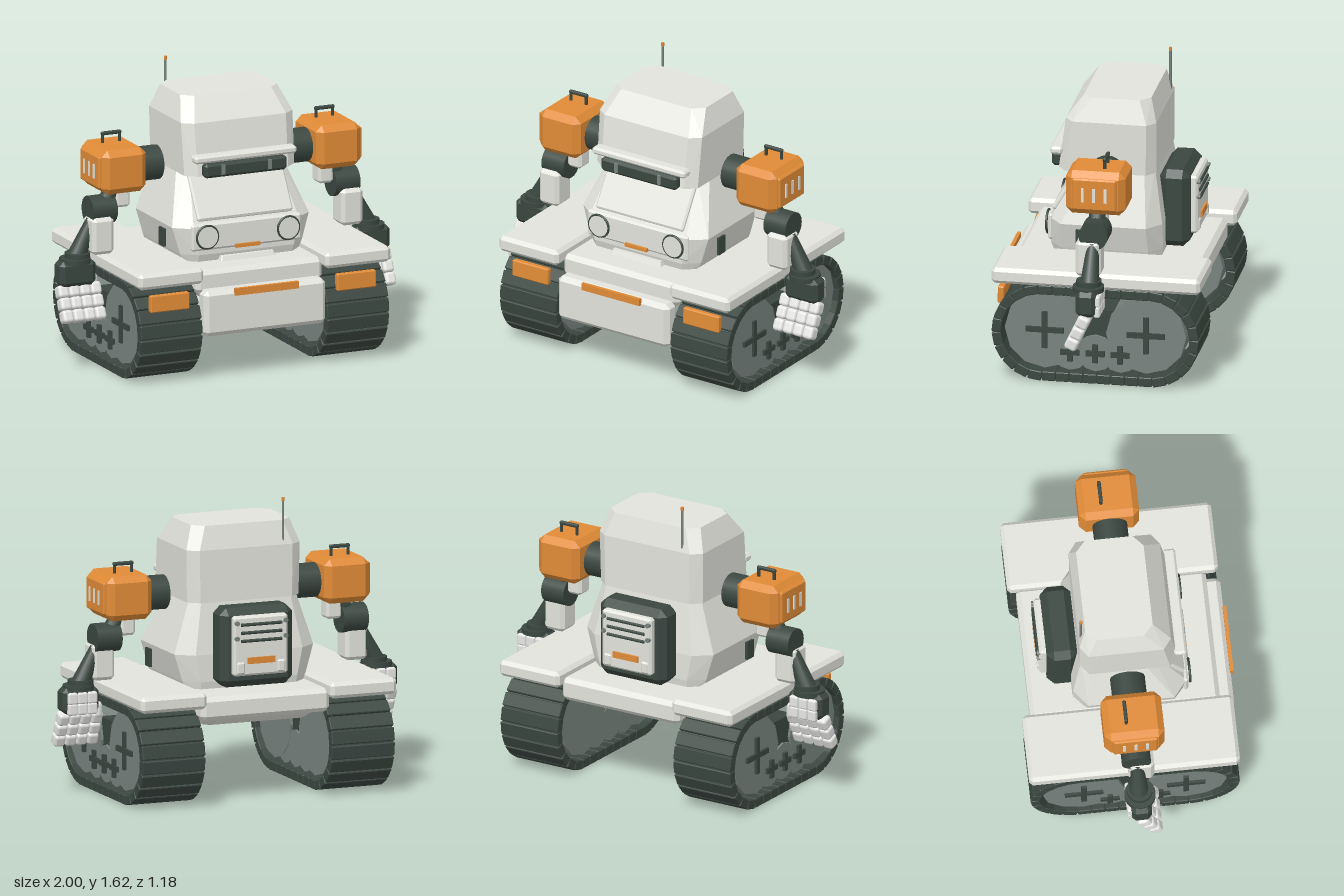
import * as THREE from 'three';
import { mergeGeometries } from 'three/addons/utils/BufferGeometryUtils.js';
import { ConvexGeometry } from 'three/addons/geometries/ConvexGeometry.js';
import { RoundedBoxGeometry } from 'three/addons/geometries/RoundedBoxGeometry.js';

const mat = (name, color) => Object.assign(new THREE.MeshStandardMaterial({ color }), { name });

export function createModel() {
  const shell = mat('pale grey shell', 0xe2e3dc);
  const dark = mat('dark green grey', 0x3b4741);
  const orange = mat('orange', 0xe08b36);
  const wheelGrey = mat('wheel grey green', 0x78837e);
  const fingerWhite = mat('finger white', 0xe6e6e4);

  const root = new THREE.Group();
  root.name = 'trackedRobot';
  let parent = root;

  const group = (name) => {
    parent = new THREE.Group();
    parent.name = name;
    root.add(parent);
  };
  const add = (name, geo, m, x = 0, y = 0, z = 0, rx = 0, ry = 0, rz = 0) => {
    const mesh = new THREE.Mesh(geo, m);
    mesh.name = name;
    mesh.position.set(x, y, z);
    mesh.rotation.set(rx, ry, rz);
    parent.add(mesh);
  };
  const box = (w, h, d) => new THREE.BoxGeometry(w, h, d);
  // box with all edges bevelled by c
  const bevelBox = (w, h, d, c) => {
    const pts = [];
    for (const i of [-1, 1]) for (const j of [-1, 1]) for (const k of [-1, 1]) {
      const [x, y, z] = [w / 2, h / 2, d / 2];
      pts.push(new THREE.Vector3(i * x, j * (y - c), k * (z - c)),
        new THREE.Vector3(i * (x - c), j * y, k * (z - c)),
        new THREE.Vector3(i * (x - c), j * (y - c), k * z));
    }
    return new ConvexGeometry(pts);
  };
  // faceted hull through octagonal levels: [y, halfWidth, zFront, zBack, cornerX, cornerZ]
  const hull = (levels) => new ConvexGeometry(levels.flatMap(([y, hx, zf, zb, cx, cz]) =>
    [-1, 1].flatMap((s) => [
      [s * (hx - cx), zf], [s * hx, zf - cz], [s * hx, zb + cz], [s * (hx - cx), zb],
    ].map(([x, z]) => new THREE.Vector3(x, y, z)))));
  const rod = (r, len, n = 16) => new THREE.CylinderGeometry(r, r, len, n);

  // Hull, deck and bumper
  group('chassis');
  add('deck', bevelBox(0.76, 0.13, 1.04, 0.025), shell, 0, 0.535, -0.025);
  add('belly', hull([[0.49, 0.36, 0.48, -0.5, 0.03, 0.03], [0.42, 0.3, 0.44, -0.4, 0.03, 0.03]]), shell);
  add('bumper', bevelBox(0.73, 0.255, 0.1, 0.025), shell, 0, 0.373, 0.522);
  add('bumperStripe', box(0.38, 0.04, 0.02), orange, 0, 0.487, 0.578);
  add('deckStep', hull([[0.56, 0.18, 0.365, 0.28, 0.005, 0.005], [0.625, 0.155, 0.335, 0.28, 0.005, 0.005]]), shell);

  // Torso with windscreen panel and lamps
  group('torso');
  add('torsoShell', hull([
    [0.56, 0.335, 0.29, -0.29, 0.06, 0.06],
    [0.64, 0.365, 0.315, -0.305, 0.08, 0.07],
    [0.79, 0.41, 0.315, -0.305, 0.095, 0.075],
    [1.1, 0.31, 0.13, -0.255, 0.05, 0.05],
  ]), shell);
  add('slopedPanel', bevelBox(0.57, 0.3, 0.03, 0.01), shell, 0, 0.955, 0.225, -0.54);
  add('lampPanel', bevelBox(0.66, 0.15, 0.03, 0.012), shell, 0, 0.74, 0.312);
  add('chestStripe', box(0.145, 0.02, 0.02), orange, 0, 0.675, 0.332);
  for (const s of [-1, 1]) {
    add('lamp', rod(0.06, 0.03, 24), shell, s * 0.243, 0.743, 0.33, Math.PI / 2);
    add('lampRing', new THREE.TorusGeometry(0.063, 0.007, 8, 28), dark, s * 0.243, 0.743, 0.338);
    add('sidePanel', box(0.014, 0.1, 0.065), dark, s * 0.415, 0.715, 0.122);
  }

  // Head
  group('head');
  add('headShell', hull([
    [1.07, 0.33, 0.275, -0.265, 0.06, 0.05],
    [1.36, 0.335, 0.235, -0.265, 0.06, 0.045],
    [1.49, 0.29, 0.14, -0.23, 0.06, 0.055],
  ]), shell);
  add('brow', bevelBox(0.61, 0.042, 0.07, 0.012), shell, 0, 1.172, 0.285);
  add('visor', bevelBox(0.495, 0.08, 0.06, 0.015), dark, 0, 1.105, 0.29);
  for (const s of [-1, 1]) add('visorStud', box(0.022, 0.055, 0.01), wheelGrey, s * 0.14, 1.108, 0.32);
  add('antenna', rod(0.007, 0.28, 8), wheelGrey, -0.222, 1.47, -0.253);
  add('antennaTip', rod(0.009, 0.02, 8), orange, -0.222, 1.61, -0.253);

  // Backpack with vents
  group('backpack');
  add('packBody', bevelBox(0.43, 0.44, 0.17, 0.04), dark, 0, 0.84, -0.35);
  add('packPlate', bevelBox(0.32, 0.33, 0.05, 0.012), shell, 0, 0.855, -0.448);
  for (let i = 0; i < 3; i++) add('ventSlat', rod(0.009, 0.24, 8), dark, 0, 0.975 - i * 0.045, -0.477, 0, 0, Math.PI / 2);
  add('packStripe', box(0.16, 0.035, 0.02), orange, 0, 0.775, -0.474);
  for (const s of [-1, 1]) {
    for (const y of [0.9, 0.985]) add('bolt', rod(0.013, 0.025, 10), wheelGrey, s * 0.143, y, -0.473, Math.PI / 2);
    add('packClip', bevelBox(0.05, 0.07, 0.05, 0.01), shell, s * 0.12, 0.735, -0.457);
  }

  // Tracks: a stadium path sampled at equal steps
  const R = 0.249, Y0 = 0.275, zMid = -0.011, half = 0.296;
  const straight = half * 2, arc = Math.PI * R, total = 2 * (straight + arc);
  const onTrack = (d) => {
    if (d < straight) return [half - d, -R, 0];
    d -= straight;
    if (d < arc) { const a = d / R; return [-half - R * Math.sin(a), -R * Math.cos(a), a]; }
    d -= arc;
    if (d < straight) return [-half + d, R, Math.PI];
    const a = (d - straight) / R;
    return [half + R * Math.sin(a), R * Math.cos(a), Math.PI + a];
  };
  const pads = [], count = 36;
  for (let i = 0; i < count; i++) {
    const [z, y, a] = onTrack(((i + 0.5) * total) / count);
    pads.push(bevelBox(0.37, 0.052, 0.0745, 0.004).rotateX(a).translate(0, y, z));
  }
  const padGeo = mergeGeometries(pads);
  const stadium = (T, r) => {
    T.absarc(half, 0, r, -Math.PI / 2, Math.PI / 2, false);
    T.absarc(-half, 0, r, Math.PI / 2, Math.PI * 1.5, false);
    T.closePath();
    return T;
  };
  const beltShape = stadium(new THREE.Shape(), 0.262);
  beltShape.holes.push(stadium(new THREE.Path(), 0.226));
  const beltGeo = new THREE.ExtrudeGeometry(beltShape, { depth: 0.36, bevelEnabled: false, curveSegments: 20 })
    .translate(0, 0, -0.18).rotateY(Math.PI / 2);
  const wheelGeo = (r, w) => {
    const g = new THREE.CylinderGeometry(r, r, w, 12).rotateZ(Math.PI / 2).toNonIndexed();
    g.computeVertexNormals();
    return g;
  };

  for (const s of [-1, 1]) {
    group(s > 0 ? 'leftTrack' : 'rightTrack');
    const cx = s * 0.56;
    add('trackPads', padGeo, dark, cx, Y0, zMid);
    add('trackBelt', beltGeo, dark, cx, Y0, zMid);
    const cross = (y, z, l, w) => {
      add('wheelCross', box(0.03, w, l), dark, s * 0.725, y, z);
      add('wheelCross', box(0.03, l, w), dark, s * 0.725, y, z);
    };
    for (const z of [0.27, -0.29]) {
      add('roadWheel', wheelGeo(0.222, 0.33), wheelGrey, cx, 0.292, z);
      cross(0.292, z, 0.21, 0.03);
    }
    for (const z of [0.13, -0.01, -0.147]) {
      add('smallWheel', wheelGeo(0.105, 0.325), wheelGrey, cx, 0.17, z);
      cross(0.17, z, 0.104, 0.03);
    }
    add('wheelFrame', box(0.3, 0.17, 0.2), dark, cx, 0.33, -0.01);
    add('fender', bevelBox(0.39, 0.09, 1.155, 0.02), shell, cx, 0.592, -0.014);
    add('fenderLamp', bevelBox(0.235, 0.095, 0.035, 0.006), orange, cx, 0.457, 0.523, -0.04);
  }

  // Arms
  const segment = new RoundedBoxGeometry(0.064, 0.07, 0.07, 3, 0.018);
  const knuckle = new RoundedBoxGeometry(0.056, 0.065, 0.035, 2, 0.012);
  for (const s of [-1, 1]) {
    group(s > 0 ? 'leftArm' : 'rightArm');
    const q = Math.PI / 2;
    add('shoulderJoint', rod(0.095, 0.135, 20), dark, s * 0.449, 1.1, -0.015, 0, 0, q);
    add('shoulderBox', bevelBox(0.265, 0.247, 0.33, 0.035), orange, s * 0.643, 1.108, -0.015);
    add('shoulderPanel', bevelBox(0.03, 0.18, 0.245, 0.008), orange, s * 0.775, 1.108, -0.013);
    for (const z of [0.05, -0.012, -0.075]) add('slot', box(0.008, 0.08, 0.016), shell, s * 0.791, 1.107, z);
    for (const e of [-1, 1]) add('handlePost', rod(0.009, 0.06, 8), dark, s * (0.64 + e * 0.05), 1.255, -0.055);
    add('handleBar', bevelBox(0.12, 0.02, 0.02, 0.005), dark, s * 0.64, 1.283, -0.055);

    add('upperArm', bevelBox(0.09, 0.12, 0.1, 0.015), shell, s * 0.61, 0.94, -0.01);
    add('armLink', rod(0.045, 0.15, 14), dark, s * 0.675, 0.945, -0.01, 0, 0, s * 0.6);
    add('elbow', rod(0.08, 0.145, 20), dark, s * 0.728, 0.873, -0.01, 0, 0, q);
    add('forearm', bevelBox(0.13, 0.205, 0.14, 0.02), shell, s * 0.747, 0.742, 0.018);
    add('wristCone', new THREE.CylinderGeometry(0.032, 0.055, 0.23, 16), dark, s * 0.828, 0.715, -0.005, 0, 0, s * 0.44);
    add('wristCuff', rod(0.07, 0.045, 20), dark, s * 0.868, 0.625, 0);
    add('palmFlange', rod(0.086, 0.028, 24), dark, s * 0.882, 0.606, 0);
    add('palm', bevelBox(0.215, 0.145, 0.115, 0.025), dark, s * 0.882, 0.538, 0);

    // four fingers of three segments curling forward
    for (let f = 0; f < 4; f++) {
      const x = s * (0.772 + f * 0.065);
      for (let j = 0; j < 3; j++) {
        add('fingerSegment', segment, fingerWhite, x, 0.437 - j * 0.063, 0.015 + j * 0.03, -0.42);
      }
    }
    // knuckle guards on the back of the hand, thumb on its inner side
    for (let k = 0; k < 3; k++) {
      for (let j = 0; j < 2; j++) add('knuckleGuard', knuckle, fingerWhite, s * (0.825 + k * 0.058), 0.495 + j * 0.06, -0.06);
    }
    add('thumb', new THREE.CapsuleGeometry(0.024, 0.045, 4, 10), fingerWhite, s * 0.77, 0.475, -0.01);
  }
  return root;
}
